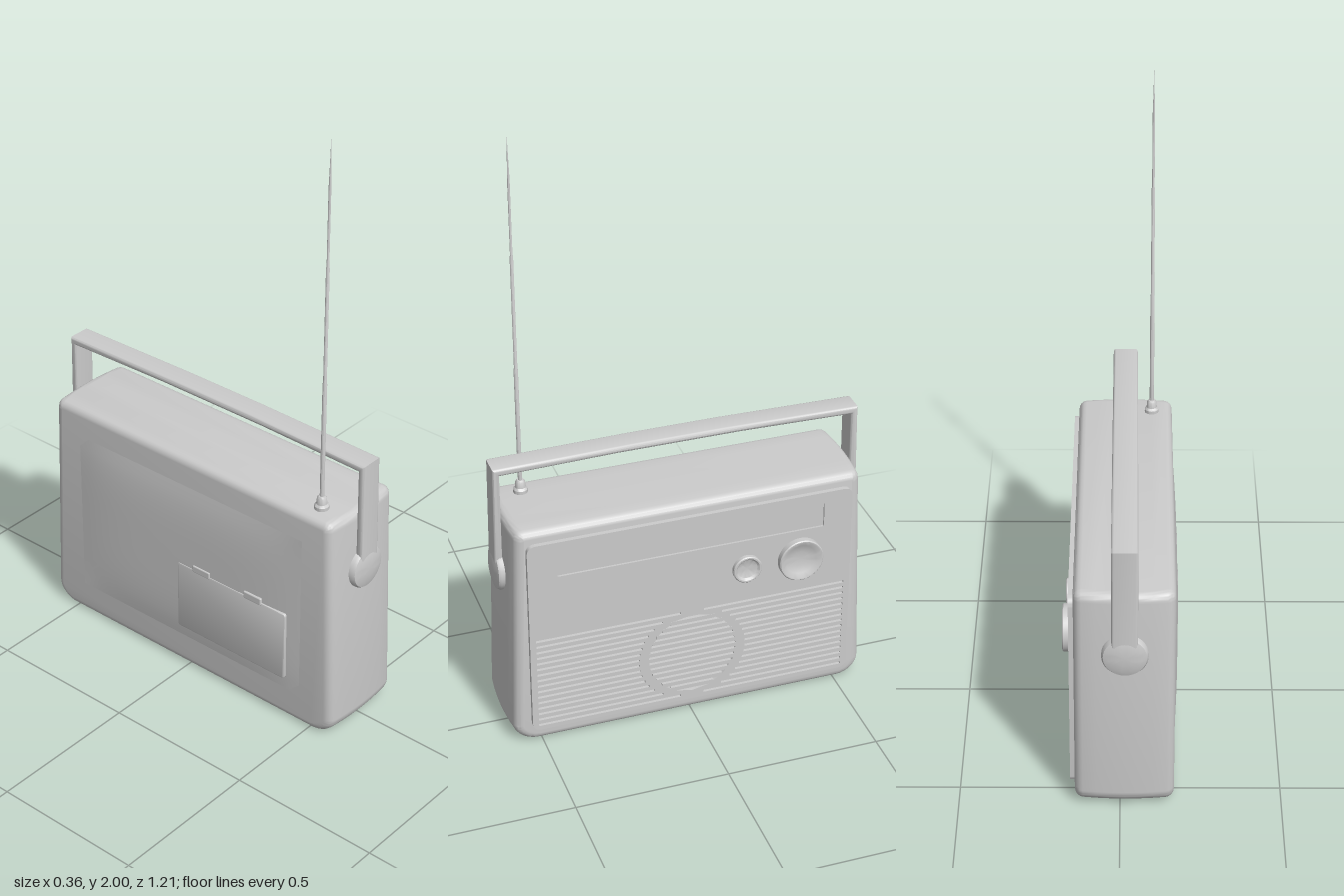
import * as THREE from 'three';
import { toCreasedNormals } from 'three/addons/utils/BufferGeometryUtils.js';
import { RoundedBoxGeometry } from 'three/addons/geometries/RoundedBoxGeometry.js';

const grey = new THREE.MeshStandardMaterial({ color: 0xcccccc });
const greyDouble = new THREE.MeshStandardMaterial({ color: 0xcccccc, side: THREE.DoubleSide });

// Closed outline with rounded corners
function roundedShape(points, r, Type = THREE.Shape) {
  const s = new Type();
  const v = points.map(p => new THREE.Vector2(...p));
  v.forEach((p, i) => {
    const prev = v[(i + v.length - 1) % v.length], next = v[(i + 1) % v.length];
    const a = p.clone().add(prev.clone().sub(p).setLength(r));
    const b = p.clone().add(next.clone().sub(p).setLength(r));
    if (i === 0) s.moveTo(a.x, a.y); else s.lineTo(a.x, a.y);
    s.quadraticCurveTo(p.x, p.y, b.x, b.y);
  });
  s.closePath();
  return s;
}

const rect = (x0, y0, x1, y1) => [[x0, y0], [x1, y0], [x1, y1], [x0, y1]];

// Extrusion from z0 to z1 whose bevel stays inside the outline
function slab(shape, z0, z1, bevel, segments = 2, steps = 1) {
  const g = new THREE.ExtrudeGeometry(shape, {
    depth: z1 - z0 - 2 * bevel, steps, curveSegments: 8, bevelEnabled: bevel > 0,
    bevelSize: bevel, bevelThickness: bevel, bevelOffset: -bevel, bevelSegments: segments,
  });
  return g.translate(0, 0, z0 + bevel);
}

function lathe(profile, segments = 32) {
  const g = new THREE.LatheGeometry(profile.map(p => new THREE.Vector2(...p)), segments);
  return toCreasedNormals(g, 0.6);
}

export function createModel() {
  const model = new THREE.Group();
  model.name = 'portableRadio';
  // Built facing +z, then turned so that the dial side faces +x
  const radio = new THREE.Group();
  radio.name = 'radio';
  radio.rotation.y = Math.PI / 2;
  model.add(radio);
  const add = (name, geometry, x = 0, y = 0, z = 0, parent = radio, material = grey) => {
    const m = new THREE.Mesh(geometry, material);
    m.name = name;
    m.position.set(x, y, z);
    parent.add(m);
    return m;
  };

  // Case: tapered rounded box with slightly bulging ends
  const outline = [[-0.54, 0], [0.54, 0], [0.587, 0.04], [0.562, 0.787], [-0.562, 0.787], [-0.587, 0.04]];
  const body = slab(roundedShape(outline, 0.03), -0.167, 0.14, 0.025, 4, 6);
  const p = body.attributes.position;
  for (let i = 0; i < p.count; i++) {
    const x = p.getX(i), z = (p.getZ(i) + 0.013) / 0.154;
    p.setX(i, x * (1 + 0.022 * (1 - z * z)));
  }
  add('case', toCreasedNormals(body, 0.65));

  // Gently domed back
  const dome = new THREE.PlaneGeometry(0.92, 0.58, 24, 16);
  const d = dome.attributes.position;
  for (let i = 0; i < d.count; i++) {
    const u = d.getX(i) / 0.46, v = d.getY(i) / 0.29;
    d.setZ(i, 0.013 * (1 - u ** 4) * (1 - v ** 4));
  }
  dome.computeVertexNormals();
  add('backDome', dome, 0, 0.4, -0.167).rotation.y = Math.PI;

  // Battery door with two clips
  const door = slab(roundedShape(rect(-0.41, 0.155, 0.03, 0.4), 0.01), -0.182, -0.16, 0.003);
  add('batteryDoor', toCreasedNormals(door, 0.5));
  for (const x of [-0.28, -0.07]) {
    add('doorClip', new RoundedBoxGeometry(0.07, 0.025, 0.02, 2, 0.004), x, 0.405, -0.175);
  }

  // Front panel with a dial window, speaker hole and grille slots
  const panel = roundedShape(rect(-0.535, 0.05, 0.535, 0.745), 0.03);
  panel.holes.push(roundedShape(rect(-0.44, 0.62, 0.44, 0.706), 0.004, THREE.Path));
  const speakerY = 0.23, speakerR = 0.148;
  panel.holes.push(new THREE.Path().absarc(0, speakerY, speakerR, 0, Math.PI * 2, true));
  const rows = 16, pitch = 0.0215;
  const rowY = i => speakerY + (i - (rows - 1) / 2) * pitch;
  for (let i = 0; i < rows; i++) {
    const y = rowY(i), dy = y - speakerY;
    const inner = Math.sqrt(Math.max(0, (speakerR + 0.015) ** 2 - dy * dy)) + 0.015;
    panel.holes.push(new THREE.Path().setFromPoints(
      rect(inner, y - 0.004, 0.515, y + 0.004).map(q => new THREE.Vector2(...q))));
    panel.holes.push(new THREE.Path().setFromPoints(
      rect(-0.515, y - 0.004, -inner, y + 0.004).map(q => new THREE.Vector2(...q))));
  }
  add('frontPanel', toCreasedNormals(slab(panel, 0.13, 0.155, 0), 0.6));
  add('dialWindow', new THREE.BoxGeometry(0.88, 0.086, 0.02), 0, 0.663, 0.138);

  // Speaker slats cut to the circle
  for (let i = 0; i <= rows; i++) {
    const y = rowY(i - 0.5), dy = y - speakerY;
    if (Math.abs(dy) > speakerR - 0.006) continue;
    const w = 2 * Math.sqrt(speakerR ** 2 - dy * dy);
    add('speakerSlat', new THREE.BoxGeometry(w, 0.0135, 0.012), 0, y, 0.15);
  }

  // Dished control knobs
  for (const [name, x, r, top] of [['tuningKnob', 0.36, 0.074, 0.177], ['volumeKnob', 0.18, 0.048, 0.17]]) {
    const h = top - 0.15;
    const knob = lathe([[r, 0], [r, h - 0.003], [r - 0.003, h], [r - 0.008, h],
      [r * 0.7, h * 0.65], [r * 0.35, h * 0.45], [0, h * 0.4]], 40);
    add(name, knob, x, 0.518, 0.15).rotation.x = Math.PI / 2;
  }

  // Carrying handle: one U-shaped strap and a domed pivot on each end
  const handle = new THREE.Group();
  handle.name = 'handle';
  radio.add(handle);
  const strap = new THREE.Shape();
  [[-0.604, 0.56], [-0.578, 0.56], [-0.576, 0.932], [-0.2, 0.94], [0.2, 0.94], [0.576, 0.932],
    [0.578, 0.56], [0.604, 0.56], [0.598, 0.956], [0.15, 0.963], [-0.15, 0.963], [-0.598, 0.956]]
    .forEach(([x, y], i) => (i ? strap.lineTo(x, y) : strap.moveTo(x, y)));
  strap.closePath();
  add('handleStrap', toCreasedNormals(slab(strap, -0.054, 0.026, 0.008, 3), 0.7), 0, 0, 0, handle);
  for (const side of [-1, 1]) {
    const pivot = lathe([[0.071, 0], [0.071, 0.03], [0.066, 0.038], [0.05, 0.043], [0.025, 0.046], [0, 0.047]]);
    add('handlePivot', pivot, side * 0.56, 0.58, -0.015, handle).rotation.z = -side * Math.PI / 2;
  }

  // Telescopic antenna
  const antenna = new THREE.Group();
  antenna.name = 'antenna';
  antenna.position.set(-0.48, 0, -0.1);
  radio.add(antenna);
  add('antennaBase', lathe([[0.023, 0.775], [0.023, 0.798], [0.017, 0.805], [0.015, 0.825],
    [0.011, 0.831], [0, 0.831]], 20), 0, 0, 0, antenna, greyDouble);
  add('antennaMast', lathe([[0.007, 0.82], [0.007, 1.22], [0.0055, 1.225], [0.0055, 1.6],
    [0.004, 1.605], [0.004, 1.85], [0.0025, 1.9], [0, 2]], 12), 0, 0, 0, antenna);

  return model;
}
